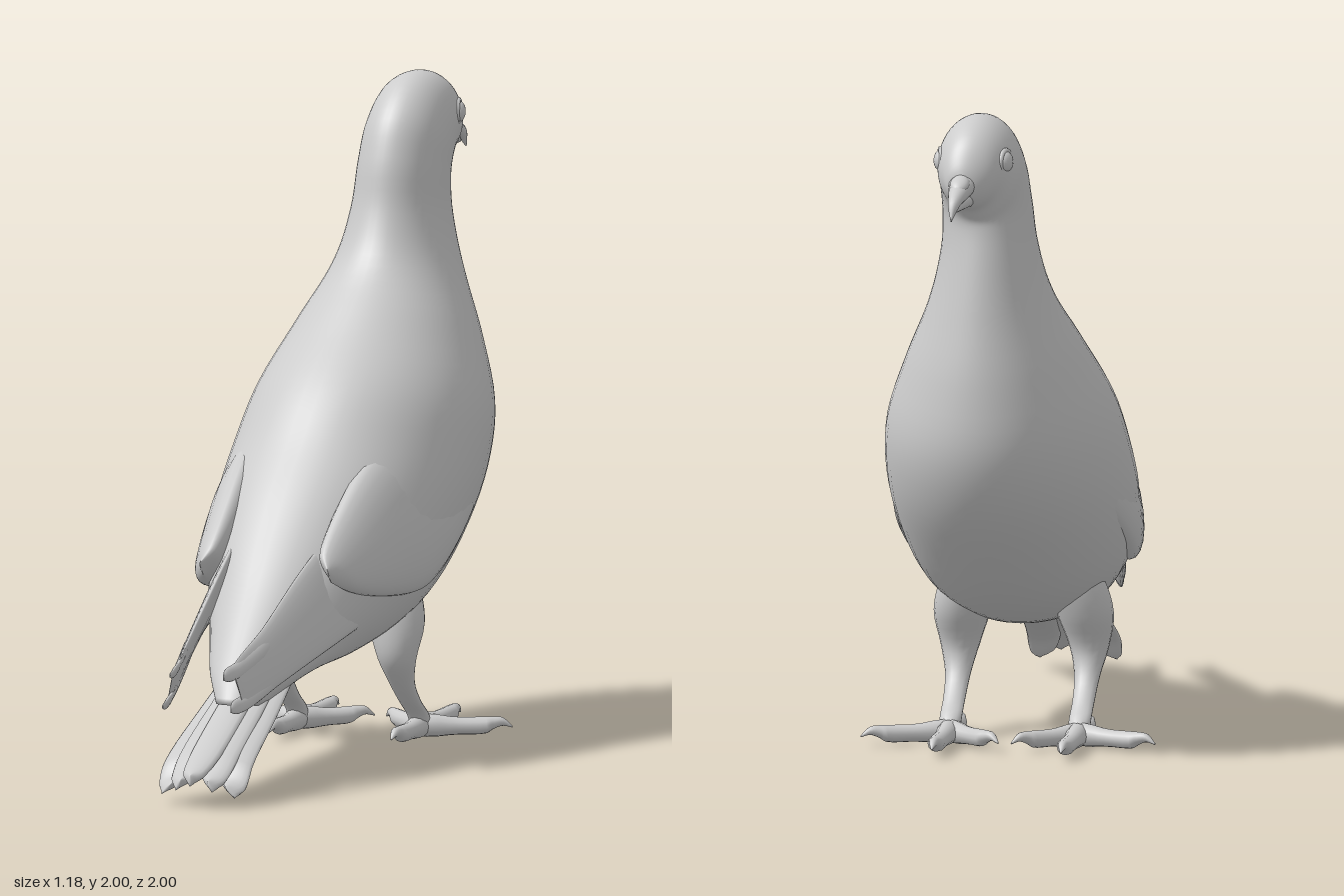
import * as THREE from 'three';

const plumage = new THREE.MeshStandardMaterial({ color: 0xcccccc });
plumage.name = 'plain grey';

// Smooth closed loft. Each row is one oval ring, ordered from front to back:
// [top s, top y, bottom s, bottom y, half width, sideways centre, lean of the top]
// where s is the distance forward (-z).
function loft(rows, steps = 24, sides = 24) {
  const curve = (f) => new THREE.CatmullRomCurve3(rows.map(f), false, 'centripetal');
  const top = curve((r) => new THREE.Vector3(0, r[1], -r[0]));
  const bottom = curve((r) => new THREE.Vector3(0, r[3], -r[2]));
  const across = new THREE.CatmullRomCurve3(
    rows.map((r) => new THREE.Vector3(r[4], r[5] || 0, r[6] || 0)), false, 'catmullrom', 0.5);
  const pos = [], index = [], ends = [];
  for (let i = 0; i <= steps; i++) {
    const u = i / steps;
    const a = top.getPoint(u), b = bottom.getPoint(u), w = across.getPoint(u);
    const y = (a.y + b.y) / 2, z = (a.z + b.z) / 2;
    if (i === 0 || i === steps) ends.push(w.y, y, z);
    for (let j = 0; j < sides; j++) {
      const q = (j / sides) * Math.PI * 2, c = Math.cos(q);
      pos.push(w.y + c * w.z + Math.sin(q) * Math.max(w.x, 0.001),
        y + c * (a.y - b.y) / 2, z + c * (a.z - b.z) / 2);
      if (i < steps) {
        const k = (j + 1) % sides, p = i * sides, n = p + sides;
        index.push(p + j, n + j, p + k, p + k, n + j, n + k);
      }
    }
  }
  // Close both ends
  const first = pos.length / 3, last = steps * sides;
  pos.push(...ends);
  for (let j = 0; j < sides; j++) {
    const k = (j + 1) % sides;
    index.push(first, j, k, first + 1, last + k, last + j);
  }
  const g = new THREE.BufferGeometry();
  g.setAttribute('position', new THREE.Float32BufferAttribute(pos, 3));
  g.setIndex(index);
  g.computeVertexNormals();
  return g;
}

function add(parent, name, geometry) {
  const m = new THREE.Mesh(geometry, plumage);
  m.name = name;
  parent.add(m);
  return m;
}

// Round ring standing across the forward axis
const disc = (s, y, r, t = 0) => [s, y + r, s, y - r, r, t];
// Round ring lying flat, for parts that run downwards
const flat = (s, y, r, t) => [s - r, y, s + r, y, r, t];

function addWing(bird, side) {
  const wing = new THREE.Group();
  wing.name = side > 0 ? 'rightWing' : 'leftWing';
  bird.add(wing);
  const mirror = (rows) => rows.map(([a, b, c, d, w, t, l]) => [a, b, c, d, w, -0.05 + side * t, side * l]);

  // Folded wing with a blunt rear lobe
  add(wing, 'wingCoverts', loft(mirror([
    [0.70, 0.95, 0.72, 0.90, 0.005, 0.20, 0],
    [0.45, 1.04, 0.55, 0.76, 0.055, 0.272, -0.03],
    [0.15, 1.00, 0.30, 0.62, 0.072, 0.275, -0.06],
    [-0.10, 0.91, 0.08, 0.52, 0.08, 0.258, -0.06],
    [-0.28, 0.79, -0.12, 0.52, 0.065, 0.235, -0.05],
    [-0.40, 0.69, -0.30, 0.555, 0.04, 0.215, -0.03],
    [-0.43, 0.64, -0.40, 0.60, 0.003, 0.21, 0],
  ]), 32));

  // Flight feathers behind the lobe, with a notch between two tips
  add(wing, 'flightFeathers', loft(mirror([
    [-0.10, 0.78, 0.06, 0.49, 0.03, 0.21, -0.05],
    [-0.42, 0.65, -0.35, 0.42, 0.022, 0.18, -0.05],
    [-0.72, 0.50, -0.70, 0.335, 0.016, 0.14, -0.03],
    [-0.91, 0.415, -0.89, 0.285, 0.009, 0.11, -0.02],
    [-0.93, 0.39, -0.92, 0.31, 0.001, 0.11, -0.01],
  ])));
  for (const [y, out] of [[0.39, -0.012], [0.292, 0.012]]) {
    add(wing, 'flightFeatherTip', loft(mirror([
      [-0.60, y + 0.12, -0.60, y + 0.09, 0.004, 0.155 + out, -0.005],
      [-0.75, y + 0.08, -0.75, y + 0.03, 0.012, 0.135 + out, -0.01],
      [-0.90, y + 0.03, -0.90, y - 0.015, 0.01, 0.11 + out, -0.008],
      [-0.96, y + 0.018, -0.96, y - 0.02, 0.008, 0.10 + out, -0.006],
      [-0.99, y, -0.99, y - 0.012, 0.002, 0.10 + out, 0],
    ]), 14, 14));
  }
}

function addLeg(bird, side) {
  const leg = new THREE.Group();
  leg.name = side > 0 ? 'rightLeg' : 'leftLeg';
  leg.position.x = -0.07;
  bird.add(leg);
  const t = side * 0.2;
  add(leg, 'shank', loft([
    flat(0.28, 0.60, 0.05, t * 0.7), flat(0.27, 0.49, 0.09, t * 0.8), flat(0.25, 0.38, 0.088, t * 0.95),
    flat(0.23, 0.27, 0.06, t), flat(0.27, 0.19, 0.04, t),
    flat(0.34, 0.12, 0.034, t), flat(0.41, 0.065, 0.034, t), flat(0.43, 0.015, 0.03, t),
  ], 28, 18));
  // Toes: heading and length, ending in a hooked claw
  for (const [angle, length] of [[0, 0.33], [1.15, 0.28], [-0.8, 0.25], [Math.PI, 0.25]]) {
    const toe = add(leg, 'toe', loft([
      disc(length, 0.026, 0.003), disc(length - 0.03, 0.042, 0.013),
      disc(length - 0.06, 0.038, 0.02), disc(length - 0.08, 0.032, 0.026),
      disc(length * 0.4, 0.03, 0.027), disc(0, 0.033, 0.033), disc(-0.03, 0.033, 0.002),
    ], 20, 12));
    toe.rotation.y = -side * angle;
    toe.position.set(t, 0, -0.43);
  }
}

export function createModel() {
  const model = new THREE.Group();
  model.name = 'bird';
  const bird = new THREE.Group();
  bird.name = 'turnedBird';
  bird.rotation.y = -0.455;
  model.add(bird);

  // Head, neck, breast and rump in one skin
  add(bird, 'body', loft([
    [0.985, 1.82, 0.985, 1.80, 0.002, 0],
    [0.970, 1.87, 0.970, 1.755, 0.045, 0],
    [0.920, 1.945, 0.945, 1.735, 0.08, -0.01],
    [0.820, 1.995, 0.920, 1.72, 0.108, -0.015],
    [0.700, 1.985, 0.905, 1.70, 0.124, -0.025],
    [0.585, 1.89, 0.895, 1.68, 0.132, -0.03],
    [0.530, 1.76, 0.895, 1.65, 0.136, -0.035],
    [0.495, 1.60, 0.910, 1.55, 0.148, -0.04],
    [0.425, 1.46, 0.935, 1.37, 0.19, -0.04],
    [0.250, 1.31, 0.960, 1.16, 0.27, -0.04],
    [0.030, 1.14, 0.955, 0.95, 0.345, -0.04],
    [-0.12, 0.98, 0.875, 0.77, 0.37, -0.045],
    [-0.25, 0.85, 0.700, 0.58, 0.365, -0.05],
    [-0.38, 0.71, 0.500, 0.43, 0.33, -0.05],
    [-0.50, 0.58, 0.280, 0.35, 0.27, -0.045],
    [-0.62, 0.46, 0.000, 0.31, 0.20, -0.04],
    [-0.73, 0.35, -0.30, 0.31, 0.14, -0.03],
    [-0.80, 0.27, -0.60, 0.25, 0.07, -0.02],
  ], 80, 48));

  // Beak with a hooked upper half, and the fleshy bump above it
  add(bird, 'upperBeak', loft([
    [1.118, 1.722, 1.112, 1.715, 0.002, 0.01],
    [1.095, 1.775, 1.075, 1.745, 0.017, 0.008],
    [1.03, 1.815, 1.02, 1.76, 0.03, 0.004],
    [0.93, 1.86, 0.92, 1.77, 0.05, 0],
  ], 16, 16));
  add(bird, 'lowerBeak', loft([
    [1.075, 1.745, 1.07, 1.735, 0.003, 0.008],
    [1.02, 1.775, 1.01, 1.735, 0.024, 0.004],
    [0.91, 1.79, 0.90, 1.73, 0.045, 0],
  ], 12, 16));
  const cere = add(bird, 'cere', new THREE.SphereGeometry(1, 20, 14));
  cere.scale.set(0.03, 0.02, 0.045);
  cere.position.set(0.003, 1.815, -1.0);
  cere.rotation.x = -0.4;

  for (const side of [1, -1]) {
    // Eye with its raised ring
    const eye = add(bird, 'eye', new THREE.SphereGeometry(1, 20, 14));
    eye.scale.set(0.022, 0.033, 0.036);
    eye.position.set(-0.015 + side * 0.1, 1.865, -0.86);
    eye.rotation.y = side * 0.25;
    const lid = add(bird, 'eyeRing', new THREE.TorusGeometry(0.036, 0.008, 8, 28));
    lid.position.set(-0.015 + side * 0.1, 1.865, -0.86);
    lid.rotation.y = Math.PI / 2 + side * 0.25;
    addWing(bird, side);
    addLeg(bird, side);
  }

  // Fanned, arched tail, the outer feathers lower and shorter
  for (let k = -2; k <= 2; k++) {
    const e = Math.abs(k), drop = 0.02 * e, h = 0.018;
    const ring = (s, y, w, t) => [s, y - drop + h, s, y - drop - h, w, t, -0.008 * k];
    add(bird, 'tailFeather', loft([
      ring(-0.40, 0.40, 0.04, -0.04 + 0.03 * k),
      ring(-0.70, 0.28, 0.05, -0.025 + 0.038 * k),
      ring(-0.97, 0.155, 0.05, -0.02 + 0.046 * k),
      ring(-1.09 + 0.035 * e, 0.10, 0.036, -0.02 + 0.051 * k),
      ring(-1.125 + 0.035 * e, 0.085, 0.005, -0.02 + 0.052 * k),
    ], 20, 14));
  }
  return model;
}
